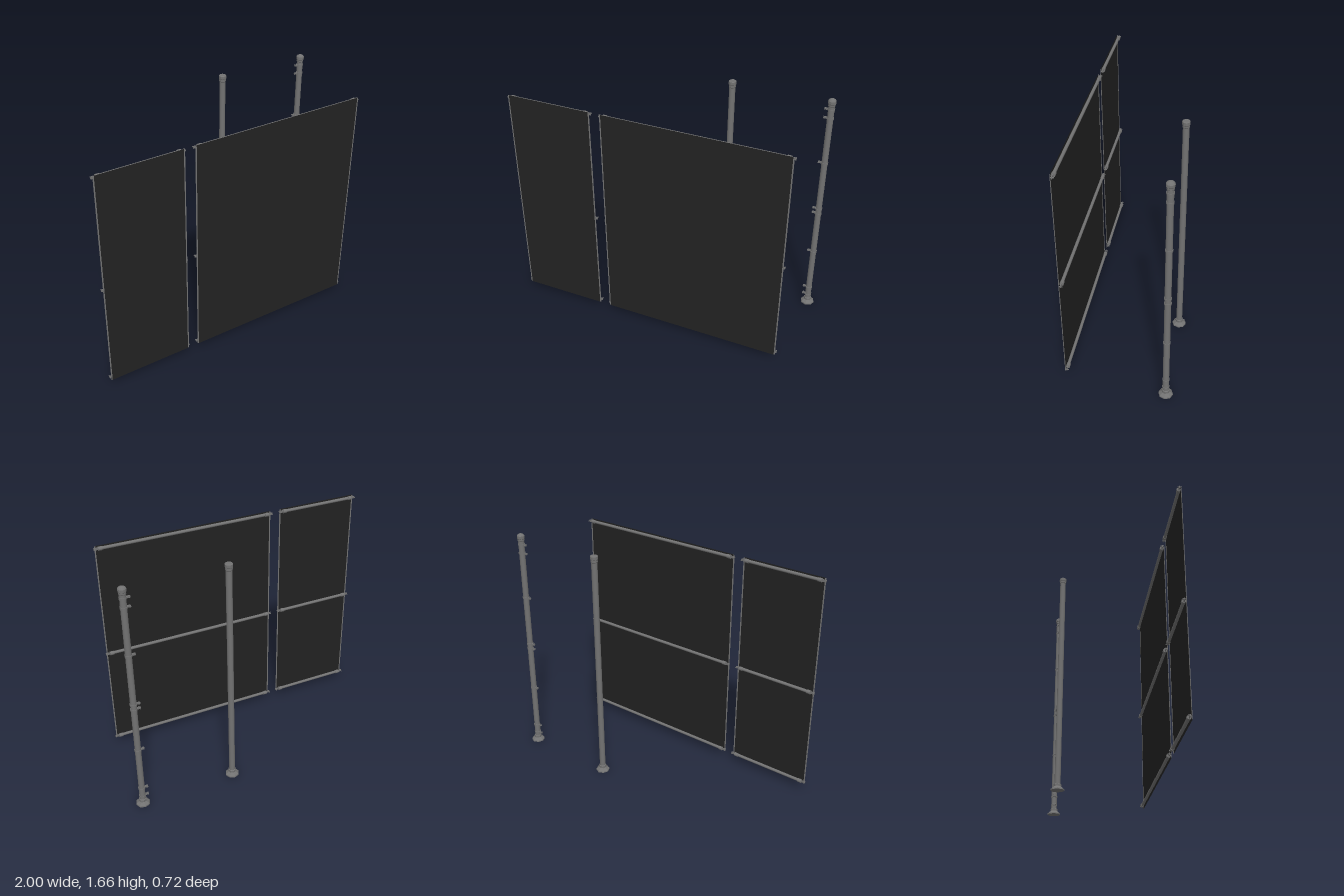
import * as THREE from 'three';

const steel = new THREE.MeshStandardMaterial({ color: 0x727272 });
steel.name = 'galvanised steel';
const netting = new THREE.MeshStandardMaterial({ color: 0x222222, side: THREE.DoubleSide });
netting.name = 'dark netting';

function add(parent, name, geometry, material, x = 0, y = 0, z = 0) {
  const mesh = new THREE.Mesh(geometry, material);
  mesh.name = name;
  mesh.position.set(x, y, z);
  parent.add(mesh);
  return mesh;
}

// Cylinder lying along x
function rod(parent, name, radius, length, x, y, z, sides = 12) {
  const geometry = new THREE.CylinderGeometry(radius, radius, length, sides).rotateZ(Math.PI / 2);
  return add(parent, name, geometry, steel, x, y, z);
}

// Straight-sided turned profile with hard rings
function turned(points, sides) {
  const geometry = new THREE.LatheGeometry(points.map(([r, y]) => new THREE.Vector2(r, y)), sides).toNonIndexed();
  geometry.computeVertexNormals();
  return geometry;
}

// Netting sheet with side tension bars and three rails behind it
function makePanel(name, x0, x1) {
  const panel = new THREE.Group();
  panel.name = name;
  const mid = (x0 + x1) / 2, width = x1 - x0;
  add(panel, 'netting', new THREE.PlaneGeometry(width, 1.55), netting, mid, 0.823, 0.361);
  for (const side of [-1, 1]) {
    const edge = side < 0 ? x0 : x1;
    add(panel, 'tensionBar', new THREE.BoxGeometry(0.008, 1.545, 0.003), steel, edge + side * 0.003, 0.823, 0.36);
  }
  for (const y of [0.07, 0.79, 1.582]) {
    rod(panel, 'rail', 0.0105, width - 0.04, mid, y, 0.348);
    for (const side of [-1, 1]) {
      const edge = side < 0 ? x0 : x1;
      // Rail end cup, flat lug and bolt
      rod(panel, 'railCup', 0.0135, 0.026, edge - side * 0.026, y, 0.347);
      add(panel, 'railLug', new THREE.BoxGeometry(0.028, 0.016, 0.005), steel, edge + side * 0.001, y, 0.348);
      const bolt = new THREE.CylinderGeometry(0.004, 0.004, 0.024, 6).rotateX(Math.PI / 2);
      add(panel, 'lugBolt', bolt, steel, edge + side * 0.011, y, 0.347);
    }
  }
  return panel;
}

// Post with flanged foot and top cap
function makePost(name, x, cap) {
  const post = new THREE.Group();
  post.name = name;
  post.position.set(x, 0, -0.313);
  add(post, 'tube', new THREE.CylinderGeometry(0.0205, 0.0205, 1.6, 16), steel, 0, 0.82, 0);
  add(post, 'foot', turned([[0, 0], [0.048, 0], [0.047, 0.009], [0.031, 0.022], [0.026, 0.026],
    [0.026, 0.043], [0.0205, 0.046]], 8), steel);
  add(post, 'cap', turned(cap, 12), steel);
  return post;
}

export function createModel() {
  const model = new THREE.Group();
  model.name = 'fenceKit';
  model.add(makePanel('narrowPanel', -0.985, -0.41));
  model.add(makePanel('widePanel', -0.325, 0.905));

  model.add(makePost('plainPost', 0.29, [[0.0205, 1.606], [0.0235, 1.61], [0.0235, 1.625],
    [0.0255, 1.628], [0.0255, 1.648], [0.021, 1.652], [0, 1.652]]));
  const endPost = makePost('endPost', 0.949, [[0.0205, 1.606], [0.0235, 1.61], [0.0235, 1.622],
    [0.0265, 1.626], [0.0265, 1.644], [0.02, 1.652], [0.009, 1.658], [0, 1.66]]);
  model.add(endPost);

  // Clamp bands with paired lugs and a bolt, facing the wide panel
  for (const y of [0.07, 0.135, 0.463, 0.79, 0.828, 1.19, 1.52, 1.582]) {
    const clamp = new THREE.Group();
    clamp.name = 'clamp';
    clamp.position.y = y;
    add(clamp, 'band', new THREE.CylinderGeometry(0.0235, 0.0235, 0.012, 16), steel);
    for (const z of [-0.004, 0.004]) {
      add(clamp, 'lug', new THREE.BoxGeometry(0.026, 0.012, 0.003), steel, -0.031, 0, z);
    }
    const bolt = new THREE.CylinderGeometry(0.004, 0.004, 0.024, 6).rotateX(Math.PI / 2);
    add(clamp, 'bolt', bolt, steel, -0.037, 0, 0);
    endPost.add(clamp);
  }
  return model;
}
